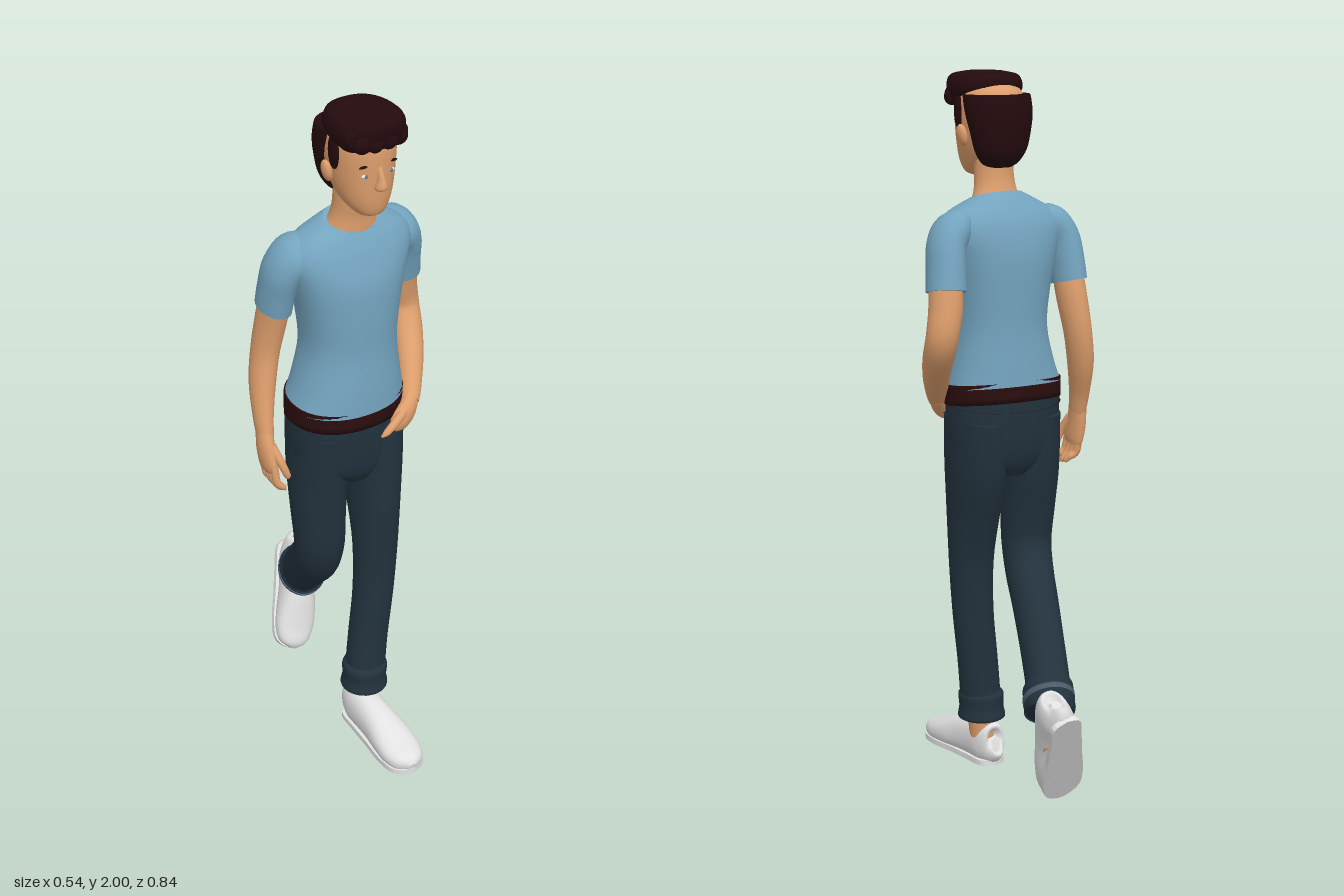
import * as THREE from 'three';

const mat = (name, color, side = THREE.FrontSide) => {
  const m = new THREE.MeshStandardMaterial({ color, side });
  m.name = name;
  return m;
};

// Smooth skin through rings [x, y, z, radiusA, radiusB, tilt]; flat keeps the rings level.
function loft(rings, { flat = false, ref = [1, 0, 0], n = 2, sides = 28, steps = 4, floor = -Infinity } = {}) {
  const path = new THREE.CatmullRomCurve3(rings.map(r => new THREE.Vector3(r[0], r[1], r[2])), false, 'catmullrom');
  const size = new THREE.CatmullRomCurve3(rings.map(r => new THREE.Vector3(r[3], r[4], r[5] || 0)), false, 'catmullrom');
  const rows = (rings.length - 1) * steps, pos = [], index = [];
  const power = v => Math.sign(v) * Math.abs(v) ** (2 / n);
  for (let i = 0; i <= rows; i++) {
    const t = i / rows, c = path.getPoint(t), s = size.getPoint(t);
    const T = path.getTangent(t);
    if (flat) T.set(0, Math.sign(T.y) || 1, 0);
    const u = new THREE.Vector3(...ref).addScaledVector(T, -T.dot(new THREE.Vector3(...ref))).normalize();
    const v = T.clone().cross(u);
    for (let j = 0; j < sides; j++) {
      const a = j / sides * Math.PI * 2;
      const p = c.clone().addScaledVector(u, s.x * power(Math.cos(a))).addScaledVector(v, s.y * power(Math.sin(a)));
      pos.push(p.x, Math.max(floor, p.y + s.z * Math.sin(a)), p.z);
    }
  }
  for (let i = 0; i < rows; i++) for (let j = 0; j < sides; j++) {
    const k = (j + 1) % sides, a = i * sides + j, b = i * sides + k;
    index.push(a, b, a + sides, b, b + sides, a + sides);
  }
  // End caps on their own vertices, so the rims stay sharp
  for (const end of [0, rows]) {
    const start = pos.length / 3, mid = [0, 0, 0];
    for (let j = 0; j < sides; j++) for (let k = 0; k < 3; k++) {
      const val = pos[(end * sides + j) * 3 + k];
      pos.push(val);
      mid[k] += val / sides;
    }
    pos.push(...mid);
    for (let j = 0; j < sides; j++) {
      const a = start + j, b = start + (j + 1) % sides;
      end ? index.push(a, b, start + sides) : index.push(b, a, start + sides);
    }
  }
  const g = new THREE.BufferGeometry();
  g.setAttribute('position', new THREE.Float32BufferAttribute(pos, 3));
  g.setIndex(index);
  g.computeVertexNormals();
  return g;
}

export function createModel() {
  const model = new THREE.Group();
  const skin = mat('skin', 0xdd9e6c), shirt = mat('blue cotton', 0x74a4bf), denim = mat('dark denim', 0x22323d);
  const turnUp = mat('denim underside', 0x4a5b6a), belt = mat('belt leather', 0x2a0d0e), hair = mat('dark hair', 0x240a0d);
  const white = mat('white canvas', 0xe2e2e2), iris = mat('blue iris', 0x5583a6), lip = mat('lip', 0xb97754);
  const add = (name, geo, m, parent = model) => {
    const mesh = new THREE.Mesh(geo, m);
    mesh.name = name;
    parent.add(mesh);
    return mesh;
  };
  const blob = (name, m, [x, y, z], [a, b, c], rz = 0) => {
    const mesh = add(name, new THREE.SphereGeometry(1, 20, 14), m);
    mesh.position.set(x, y, z);
    mesh.scale.set(a, b, c);
    mesh.rotation.z = rz;
    return mesh;
  };

  // Torso
  add('shirtBody', loft([
    [-.012, 1.135, .071, .17, .128, .014], [-.006, 1.2, .071, .152, .125, .004], [0, 1.3, .07, .135, .119],
    [0, 1.4, .069, .143, .122], [0, 1.5, .066, .165, .121], [.003, 1.575, .061, .187, .104],
    [.005, 1.62, .06, .165, .085], [.006, 1.65, .066, .112, .066, .008], [.007, 1.663, .076, .079, .056, .018],
  ], { flat: true, n: 2.2, sides: 40 }), shirt);
  add('belt', loft([[-.012, 1.088, .071, .171, .127, .014], [-.012, 1.147, .071, .17, .127, .014]],
    { flat: true, n: 2.2, sides: 40 }), belt);
  add('jeansHips', loft([
    [-.008, .885, .075, .06, .085], [-.01, .93, .073, .145, .11], [-.011, 1.0, .071, .164, .122], [-.012, 1.1, .071, .168, .125, .014],
  ], { flat: true, n: 2.2, sides: 40 }), denim);

  // Jeans legs: the left one stands, the right one trails
  add('leftJeansLeg', loft([
    [.07, 1.05, .073, .084, .12], [.069, .9, .085, .078, .114], [.065, .77, .107, .07, .092], [.061, .63, .125, .064, .068],
    [.053, .47, .13, .06, .058], [.038, .32, .13, .059, .056], [.026, .2, .134, .059, .058], [.022, .15, .136, .058, .058],
  ]), denim);
  add('leftCuff', loft([
    [.024, .222, .136, .058, .058], [.023, .208, .136, .066, .067], [.022, .172, .136, .064, .066], [.021, .143, .136, .069, .07], [.021, .135, .136, .061, .062],
  ], { flat: true }), denim);
  add('rightJeansLeg', loft([
    [-.09, 1.05, .066, .083, .118], [-.095, .9, .066, .081, .102], [-.098, .78, .075, .076, .086], [-.096, .67, .078, .071, .076],
    [-.083, .585, .04, .068, .074], [-.055, .51, -.035, .064, .074], [-.018, .42, -.127, .061, .072], [.02, .335, -.215, .06, .07], [.04, .295, -.25, .06, .07],
  ], { steps: 5 }), denim);
  add('rightCuff', loft([
    [.022, .335, -.215, .062, .071], [.027, .326, -.225, .069, .079], [.037, .304, -.245, .067, .076], [.048, .283, -.268, .07, .08], [.051, .277, -.273, .062, .071],
  ]), denim);
  add('rightCuffBand', loft([[.034, .311, -.239, .071, .081], [.04, .299, -.252, .071, .081]]), turnUp);

  // Ankles and shoes
  add('leftAnkle', loft([[.02, .08, .135, .036, .042], [.021, .12, .136, .037, .043], [.022, .18, .136, .04, .045]]), skin);
  add('rightAnkle', loft([[.036, .31, -.245, .042, .046], [.058, .24, -.29, .036, .043], [.064, .19, -.325, .035, .04]]), skin);
  const shoeGeo = loft([
    [0, .062, -.171, .012, .02], [0, .06, -.163, .032, .055], [0, .064, -.125, .046, .069], [0, .063, -.07, .049, .066],
    [.002, .055, -.01, .053, .059], [.004, .043, .05, .061, .047], [.004, .032, .105, .061, .037], [.002, .026, .15, .045, .029], [0, .022, .171, .012, .012],
  ], { n: 2.3, floor: 0 });
  const soleGeo = new THREE.ExtrudeGeometry(new THREE.Shape(new THREE.SplineCurve([
    [0, -.17], [.04, -.15], [.047, -.08], [.055, 0], [.066, .08], [.054, .145], [.002, .172],
    [-.048, .145], [-.058, .08], [-.052, 0], [-.047, -.08], [-.04, -.15], [0, -.17],
  ].map(p => new THREE.Vector2(p[0], -p[1]))).getPoints(48)), { depth: .016, bevelEnabled: false }).rotateX(-Math.PI / 2);
  const shoe = name => {
    const g = new THREE.Group();
    g.name = name;
    add('shoeUpper', shoeGeo, white, g);
    add('shoeSole', soleGeo, white, g);
    model.add(g);
    return g;
  };
  shoe('leftShoe').position.set(.009, 0, .248);
  const toe = new THREE.Vector3(-.28, -.84, .47).normalize();
  const across = new THREE.Vector3(0, .49, .87).cross(toe).normalize();
  const right = shoe('rightShoe');
  right.quaternion.setFromRotationMatrix(new THREE.Matrix4().makeBasis(across, toe.clone().cross(across), toe));
  right.position.set(.04, .158, -.335);

  // Sleeves
  add('rightSleeve', loft([
    [-.1, 1.6, .055, .03, .04], [-.145, 1.585, .05, .05, .066], [-.178, 1.54, .036, .05, .066], [-.188, 1.48, .02, .047, .063], [-.192, 1.42, .008, .046, .061],
  ]), shirt);
  add('leftSleeve', loft([
    [.11, 1.6, .055, .03, .04], [.16, 1.582, .046, .052, .068], [.192, 1.54, .032, .052, .066], [.203, 1.48, .016, .052, .063], [.21, 1.42, .003, .055, .061],
  ]), shirt);

  // Right arm hanging, with a relaxed hand
  add('rightArm', loft([
    [-.188, 1.47, .018, .04, .05], [-.193, 1.38, -.003, .041, .049], [-.206, 1.28, -.016, .038, .045],
    [-.222, 1.19, -.007, .036, .042], [-.236, 1.1, .018, .028, .033], [-.24, 1.04, .034, .022, .03],
  ]), skin);
  add('rightPalm', loft([
    [-.24, 1.06, .03, .022, .028], [-.243, 1.01, .041, .022, .036], [-.241, .96, .052, .019, .039], [-.238, .94, .056, .013, .034],
  ]), skin);
  for (let k = 0; k < 4; k++) {
    const z = .03 + k * .019, tip = .878 + Math.abs(k - 1.6) * .01;
    add('rightFinger', loft([
      [-.241, .965, z - .004, .011, .011], [-.238, .92, z + .004, .011, .011], [-.222, tip + .01, z + .01, .009, .009], [-.216, tip, z + .011, .003, .003],
    ], { sides: 10 }), skin);
  }
  add('rightThumb', loft([
    [-.236, 1.02, .06, .014, .014], [-.222, .975, .088, .012, .012], [-.208, .935, .096, .01, .01], [-.205, .926, .096, .003, .003],
  ], { sides: 10 }), skin);

  // Left arm bent, with the hand at the pocket
  add('leftArm', loft([
    [.208, 1.47, .014, .045, .05], [.216, 1.38, -.004, .047, .048], [.23, 1.3, -.008, .045, .045],
    [.222, 1.235, .028, .043, .043], [.198, 1.175, .08, .038, .038], [.165, 1.115, .135, .03, .029], [.148, 1.092, .156, .027, .026],
  ], { steps: 5 }), skin);
  add('leftHand', loft([
    [.16, 1.105, .142, .027, .024], [.135, 1.08, .168, .034, .024], [.105, 1.062, .182, .035, .022], [.08, 1.05, .186, .024, .016], [.07, 1.047, .187, .008, .006],
  ], { ref: [0, 1, 0] }), skin);
  add('leftThumb', loft([
    [.125, 1.09, .178, .014, .014], [.08, 1.075, .202, .013, .012], [.04, 1.055, .213, .01, .01], [.022, 1.045, .213, .003, .003],
  ], { ref: [0, 1, 0], sides: 12 }), skin);

  // Neck and head
  add('neck', loft([
    [.006, 1.6, .07, .085, .055], [.006, 1.645, .076, .076, .056, .012], [.005, 1.68, .082, .062, .052], [.004, 1.72, .09, .056, .052], [.003, 1.78, .095, .055, .055],
  ], { flat: true }), skin);
  add('head', loft([
    [.004, 1.714, .172, .016, .018], [.004, 1.724, .163, .04, .042], [.004, 1.755, .142, .064, .071], [.004, 1.8, .125, .079, .092],
    [.004, 1.85, .116, .087, .103], [.004, 1.9, .114, .09, .105], [.004, 1.945, .114, .084, .096], [.004, 1.972, .114, .055, .065],
  ], { flat: true, n: 2.15, sides: 36 }), skin);
  add('nose', loft([
    [.004, 1.862, .212, .008, .008], [.004, 1.83, .221, .01, .014], [.004, 1.805, .222, .017, .018], [.004, 1.795, .213, .01, .01],
  ], { flat: true, sides: 16 }), skin);
  blob('mouth', lip, [.004, 1.765, .208], [.024, .0045, .006]);
  for (const s of [-1, 1]) {
    blob('ear', skin, [.004 + s * .091, 1.83, .108], [.013, .031, .019], -s * .2);
    blob('eyeWhite', white, [.004 + s * .037, 1.84, .2065], [.013, .006, .005]);
    blob('iris', iris, [.004 + s * .037, 1.84, .2095], [.0055, .0055, .0045]);
    blob('eyebrow', hair, [.004 + s * .038, 1.867, .2075], [.019, .004, .005], -s * .1);
    blob('sideburn', hair, [.004 + s * .084, 1.892, .132], [.011, .05, .024]);
  }

  // Hair: a low back section and a separate swept top
  add('backHair', loft([
    [.004, 1.74, .062, .03, .02], [.004, 1.755, .06, .055, .036], [.004, 1.79, .055, .077, .05], [.004, 1.84, .056, .089, .06],
    [.004, 1.89, .064, .097, .072], [.004, 1.935, .075, .096, .076], [.004, 1.94, .076, .092, .073],
  ], { flat: true, n: 2.2, sides: 36 }), hair);
  add('topHair', loft([
    [0, 1.914, .178, .082, .05], [0, 1.93, .158, .094, .084], [0, 1.953, .146, .099, .102], [0, 1.977, .146, .094, .104],
    [0, 1.992, .145, .08, .092], [0, 2, .143, .045, .055],
  ], { flat: true, n: 2.4, sides: 36 }), hair);
  const tufts = [[-.082, 1.958, .215, .02], [-.055, 1.94, .226, .026], [-.02, 1.935, .23, .024], [.02, 1.938, .229, .026], [.058, 1.935, .215, .026], [.08, 1.93, .185, .024]];
  for (const [x, y, z, r] of tufts) blob('fringeTuft', hair, [x, y, z], [r, r, r * .8], x * 4);
  add('curl', new THREE.TorusGeometry(.014, .006, 8, 18, 4.4), hair).position.set(-.082, 1.955, .225);
  return model;
}
